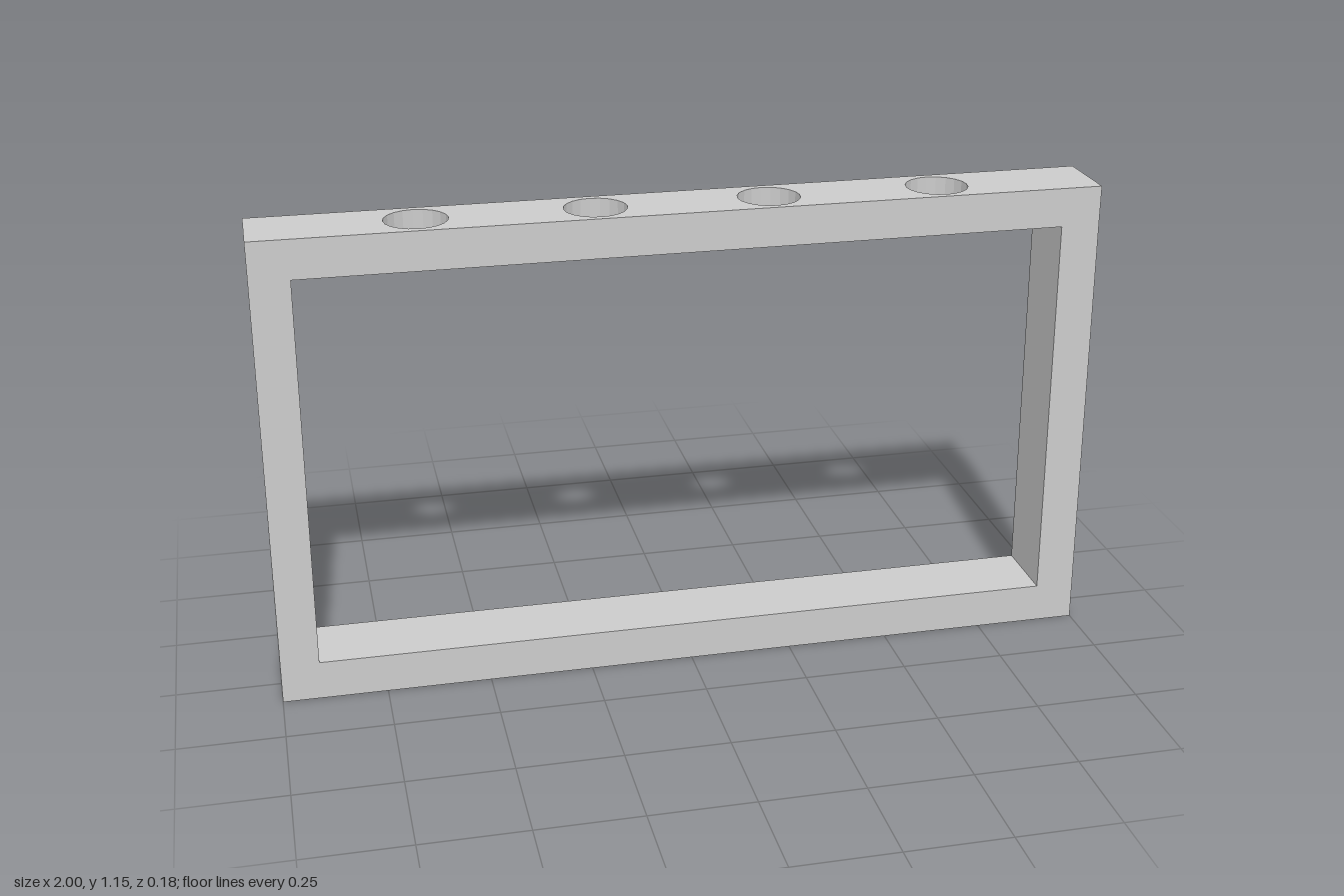
import * as THREE from 'three';

const DEPTH = 0.18, HEIGHT = 1.147, BAR_Y = 1.053, FLOOR_Y = 0.096;

function polygon(points) {
  return new THREE.Shape(points.map(([x, y]) => new THREE.Vector2(x, y)));
}

export function createModel() {
  const group = new THREE.Group();
  group.name = 'rack';
  const material = new THREE.MeshStandardMaterial({ color: 0xcccccc, flatShading: true });

  // Base and both uprights as one U-shaped piece, leaning in very slightly
  const u = polygon([
    [-1, 0], [1, 0], [0.992, BAR_Y], [0.898, BAR_Y],
    [0.904, FLOOR_Y], [-0.908, FLOOR_Y], [-0.904, BAR_Y], [-0.997, BAR_Y],
  ]);
  const frameGeometry = new THREE.ExtrudeGeometry(u, { depth: DEPTH, bevelEnabled: false });
  frameGeometry.translate(0, 0, -DEPTH / 2);
  const frame = new THREE.Mesh(frameGeometry, material);
  frame.name = 'baseAndUprights';
  group.add(frame);

  // Top bar with four round through-holes
  const d = DEPTH / 2;
  const bar = polygon([[-0.997, -d], [0.992, -d], [0.992, d], [-0.997, d]]);
  for (const x of [-0.617, -0.207, 0.202, 0.612]) {
    bar.holes.push(new THREE.Path().absarc(x, 0, 0.074, 0, Math.PI * 2, true));
  }
  const barGeometry = new THREE.ExtrudeGeometry(bar, {
    depth: HEIGHT - BAR_Y, bevelEnabled: false, curveSegments: 10,
  });
  barGeometry.rotateX(-Math.PI / 2).translate(0, BAR_Y, 0);
  const topBar = new THREE.Mesh(barGeometry, material);
  topBar.name = 'topBarWithHoles';
  group.add(topBar);

  return group;
}
